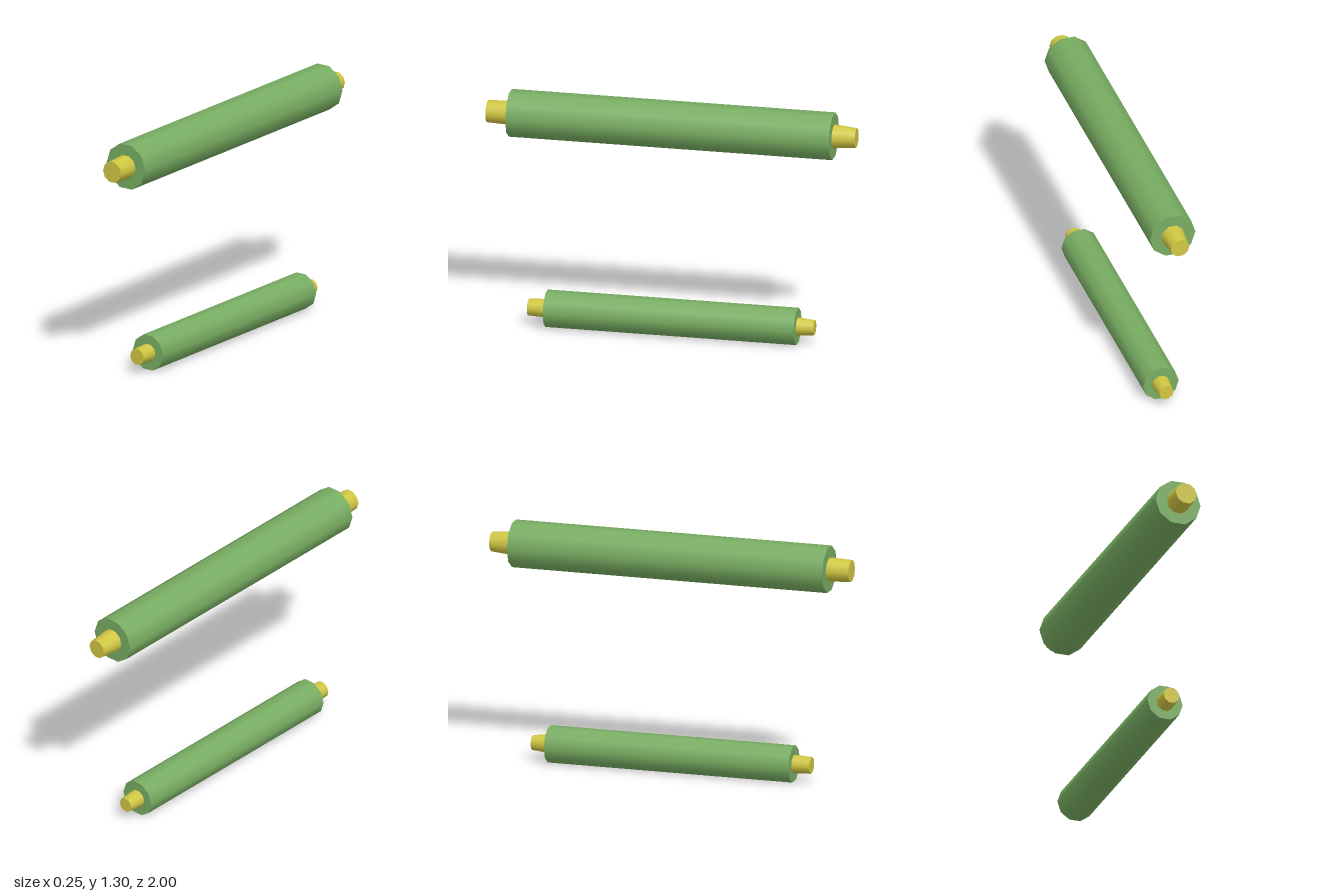
import * as THREE from 'three';

const SIDES = 10;

export function createModel() {
  const model = new THREE.Group();
  model.name = 'rollerPair';
  const green = new THREE.MeshStandardMaterial({ color: 0x78ad62 });
  green.name = 'green';
  const yellow = new THREE.MeshStandardMaterial({ color: 0xd0c742 });
  yellow.name = 'yellow';

  // Ten-sided rod along z, flat on top, from z = back to z = front
  function rod(name, rFront, rBack, back, front, material) {
    const geometry = new THREE.CylinderGeometry(rFront, rBack, front - back, SIDES, 1, false, Math.PI / 2);
    geometry.rotateX(Math.PI / 2);
    const mesh = new THREE.Mesh(geometry, material);
    mesh.name = name;
    mesh.position.z = (front + back) / 2;
    return mesh;
  }

  // Green roller with a tapered yellow axle stub at each end
  function roller(name, y, r, half, stubBase, frontEnd, backEnd) {
    const group = new THREE.Group();
    group.name = name;
    group.position.y = y;
    group.add(
      rod('rollerBody', r, r, -half, half, green),
      rod('frontStub', frontEnd.r, stubBase, half, frontEnd.z, yellow),
      rod('backStub', stubBase, backEnd.r, backEnd.z, -half, yellow),
    );
    model.add(group);
  }

  roller('upperRoller', 1.177, 0.127, 0.877, 0.064, { r: 0.059, z: 1 }, { r: 0.052, z: -1 });
  roller('lowerRoller', 0.095, 0.0995, 0.68, 0.049, { r: 0.045, z: 0.778 }, { r: 0.04, z: -0.773 });
  return model;
}
